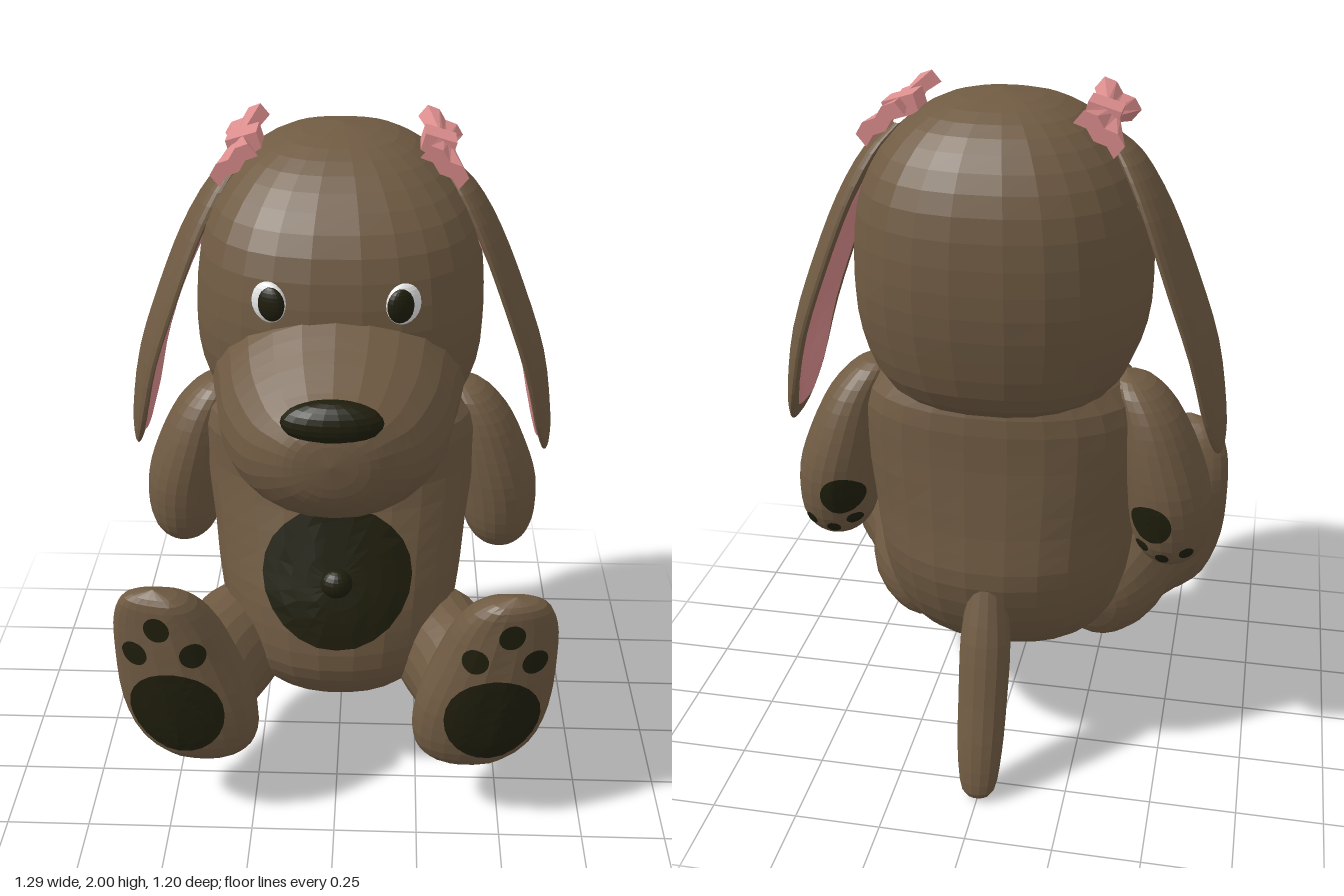
import * as THREE from 'three';

const mat = (name, color) => Object.assign(new THREE.MeshStandardMaterial({ color, flatShading: true }), { name });

export function createModel() {
  const brown = mat('brown plush', 0x705b43);
  const dark = mat('dark felt', 0x1f1e0d);
  const pink = mat('pink fabric', 0xdd8e8e);
  const white = mat('eye white', 0xe8e8e8);
  const model = new THREE.Group();
  model.name = 'plushDog';

  const add = (name, geometry, material, parent = model) => {
    const mesh = new THREE.Mesh(geometry, material);
    mesh.name = name;
    parent.add(mesh);
    return mesh;
  };

  // Smooth loft along y or z. Station: [position, centre x, other centre, radius x, other radius]
  function loft(axis, stations, { seg = 22, steps = 3, n = 2 } = {}) {
    const centres = new THREE.CatmullRomCurve3(stations.map(s => new THREE.Vector3(s[0], s[1], s[2])), false, 'catmullrom', 0.5);
    const radii = new THREE.CatmullRomCurve3(stations.map(s => new THREE.Vector3(s[3], s[4], 0)), false, 'catmullrom', 0.5);
    const rows = (stations.length - 1) * steps;
    const pos = [], index = [];
    const bend = v => Math.sign(v) * Math.abs(v) ** (2 / n);
    for (let r = 0; r <= rows; r++) {
      const c = centres.getPoint(r / rows), q = radii.getPoint(r / rows);
      for (let i = 0; i < seg; i++) {
        const a = (i / seg) * Math.PI * 2;
        const u = c.y + Math.max(0, q.x) * bend(Math.cos(a));
        const v = c.z + Math.max(0, q.y) * bend(Math.sin(a));
        if (axis === 'y') pos.push(u, c.x, v);
        else pos.push(u, v, c.x);
        if (r === rows) continue;
        const p = r * seg + i, next = r * seg + (i + 1) % seg, up = p + seg, nextUp = next + seg;
        if (axis === 'y') index.push(p, up, next, next, up, nextUp);
        else index.push(p, next, up, next, nextUp, up);
      }
    }
    const g = new THREE.BufferGeometry();
    g.setAttribute('position', new THREE.Float32BufferAttribute(pos, 3));
    g.setIndex(index);
    g.computeVertexNormals();
    return g;
  }

  // Moves every vertex by a rule that edits the point in place
  function reshape(g, rule) {
    const p = g.attributes.position, v = new THREE.Vector3();
    for (let i = 0; i < p.count; i++) {
      rule(v.fromBufferAttribute(p, i));
      p.setXYZ(i, v.x, v.y, v.z);
    }
    g.computeVertexNormals();
    return g;
  }

  const ellipsoid = (rx, ry, rz, x, y, z, yaw = 0) =>
    new THREE.SphereGeometry(1, 18, 12).scale(rx, ry, rz).rotateY(yaw).translate(x, y, z);

  // Thin felt patch laid onto the front (dir 1) or back (dir -1) of a mesh
  function patch(name, target, x, y, rx, ry, dir = 1) {
    const g = new THREE.RingGeometry(0.001, 1, 24, 5).scale(rx, ry, 1);
    if (dir < 0) g.rotateY(Math.PI);
    g.translate(x, y, 0);
    const ray = new THREE.Raycaster();
    reshape(g, v => {
      ray.set(new THREE.Vector3(v.x, v.y, 3 * dir), new THREE.Vector3(0, 0, -dir));
      v.z = ray.intersectObject(target)[0].point.z + 0.006 * dir;
    });
    add(name, g, dark);
  }

  // Body, broad at the shoulders with the belly pushed forward
  const body = add('body', loft('y', [
    [0.24, 0, 0.04, 0, 0], [0.265, 0, 0.025, 0.16, 0.125], [0.34, 0, -0.003, 0.275, 0.25],
    [0.46, 0, -0.037, 0.345, 0.345], [0.64, 0, -0.08, 0.378, 0.368], [0.8, 0, -0.103, 0.392, 0.332],
    [1.0, 0, -0.13, 0.412, 0.288], [1.16, 0, -0.13, 0.395, 0.28], [1.3, 0, -0.14, 0.24, 0.22],
  ], { seg: 26, n: 2.2 }), brown);
  patch('bellyPatch', body, 0, 0.75, 0.222, 0.21);
  add('navel', ellipsoid(0.047, 0.045, 0.04, 0, 0.75, 0.264), dark);

  // Head and muzzle
  add('head', loft('y', [
    [1.08, 0, -0.1, 0, 0], [1.115, 0, -0.1, 0.2, 0.2], [1.2, 0, -0.12, 0.33, 0.32],
    [1.36, 0, -0.11, 0.4, 0.385], [1.55, 0, -0.112, 0.41, 0.404], [1.75, 0, -0.122, 0.378, 0.372],
    [1.89, 0, -0.14, 0.285, 0.28], [1.97, 0, -0.15, 0.16, 0.16], [2.0, 0, -0.15, 0, 0],
  ], { seg: 26, n: 2.4 }), brown);
  add('muzzle', loft('z', [
    [-0.05, 0, 1.33, 0.37, 0.24], [0.1, 0, 1.33, 0.355, 0.27], [0.24, 0, 1.333, 0.33, 0.272],
    [0.36, 0, 1.305, 0.305, 0.242], [0.48, 0, 1.295, 0.24, 0.187], [0.55, 0, 1.31, 0.165, 0.137],
    [0.585, 0, 1.32, 0.1, 0.088], [0.599, 0, 1.33, 0, 0],
  ], { seg: 24, n: 2.1 }), brown);
  add('nose', ellipsoid(0.132, 0.06, 0.055, 0, 1.43, 0.545), dark);

  // Tail
  add('tail', loft('y', [
    [0.005, 0, -0.575, 0, 0], [0.035, 0, -0.567, 0.048, 0.034], [0.15, 0, -0.535, 0.066, 0.052],
    [0.3, 0, -0.485, 0.072, 0.063], [0.48, 0, -0.435, 0.073, 0.066], [0.64, 0, -0.4, 0.05, 0.045],
  ], { seg: 14 }), brown);

  for (const side of [1, -1]) {
    const label = side > 0 ? 'left' : 'right';
    const limb = (axis, stations, options) =>
      loft(axis, stations.map(([a, x, ...rest]) => [a, x * side, ...rest]), options);

    // Eye, turned to follow the face
    add(label + 'Eye', ellipsoid(0.05, 0.057, 0.024, side * 0.177, 1.635, 0.262, side * 0.42), white);
    add(label + 'Pupil', ellipsoid(0.04, 0.048, 0.02, side * 0.171, 1.635, 0.275, side * 0.42), dark);

    // Drooping ear, cupped toward the head, with pink lining
    const ear = [
      [1.0, 0.625, -0.15, 0, 0], [1.03, 0.622, -0.15, 0.014, 0.08], [1.13, 0.608, -0.15, 0.026, 0.138],
      [1.32, 0.572, -0.15, 0.03, 0.17], [1.52, 0.502, -0.15, 0.031, 0.172], [1.7, 0.425, -0.145, 0.032, 0.15],
      [1.83, 0.347, -0.14, 0.032, 0.105], [1.9, 0.28, -0.14, 0.02, 0.04],
    ];
    const cup = g => reshape(g, v => { v.x -= side * 1.15 * (v.z + 0.15) ** 2; });
    add(label + 'Ear', cup(limb('y', ear)), brown);
    add(label + 'EarLining', cup(limb('y', ear.slice(1, 7).map(([y, x, z, rx, rz]) =>
      [y + (1.4 - y) * 0.1, x - 0.007 + (y - 1.4) * 0.036, z, rx, rz * 0.85]))), pink);

    // Arm with paw pads turned to the back and inward
    const arm = add(label + 'Arm', limb('y', [
      [0.645, 0.5, -0.17, 0, 0], [0.67, 0.5, -0.17, 0.07, 0.085], [0.74, 0.498, -0.175, 0.11, 0.135],
      [0.87, 0.488, -0.175, 0.122, 0.157], [1.0, 0.457, -0.17, 0.113, 0.15], [1.12, 0.42, -0.165, 0.09, 0.125],
      [1.2, 0.375, -0.16, 0.06, 0.08], [1.23, 0.35, -0.16, 0, 0],
    ]), brown);
    patch(label + 'PalmPad', arm, side * 0.45, 0.83, 0.06, 0.06, -1);
    for (const [x, y] of [[0.425, 0.74], [0.485, 0.712], [0.553, 0.735]])
      patch(label + 'FingerPad', arm, side * x, y, 0.02, 0.02, -1);

    // Leg, flaring out into an upright foot that thins toward its outer edge
    add(label + 'Leg', limb('z', [
      [-0.12, 0.27, 0.4, 0, 0], [-0.08, 0.275, 0.4, 0.1, 0.11], [0.02, 0.3, 0.415, 0.16, 0.17],
      [0.16, 0.34, 0.42, 0.165, 0.185], [0.28, 0.4, 0.42, 0.175, 0.19], [0.38, 0.425, 0.42, 0.165, 0.17],
    ]), brown);
    const foot = add(label + 'Foot', reshape(limb('y', [
      [0.2, 0.39, 0.36, 0, 0], [0.22, 0.395, 0.365, 0.1, 0.07], [0.29, 0.41, 0.374, 0.175, 0.1],
      [0.43, 0.437, 0.378, 0.197, 0.112], [0.6, 0.472, 0.38, 0.172, 0.11], [0.72, 0.492, 0.4, 0.143, 0.086],
      [0.8, 0.505, 0.425, 0.092, 0.055], [0.833, 0.51, 0.44, 0, 0],
    ], { n: 2.5 }), v => {
      v.z = 0.38 + (v.z - 0.38) * (1 - 2 * Math.max(0, side * v.x - 0.46));
    }), brown);
    patch(label + 'SolePad', foot, side * 0.46, 0.43, 0.142, 0.148);
    for (const [x, y] of [[0.5, 0.727], [0.4, 0.643], [0.572, 0.63]])
      patch(label + 'ToePad', foot, side * x, y, 0.038, 0.04);

    // Hair bow: knot and two pleated, flaring wings
    const bow = new THREE.Group();
    bow.name = label + 'Bow';
    bow.position.set(side * 0.283, 1.94, -0.145);
    bow.rotation.z = -side * 0.69;
    model.add(bow);
    const knot = add('bowKnot', new THREE.BoxGeometry(0.09, 0.052, 0.1), pink, bow);
    knot.position.set(-side * 0.016, -0.006, 0);
    knot.rotation.z = side * 0.4;
    for (const turn of [0, Math.PI]) {
      const g = reshape(new THREE.BoxGeometry(0.135, 0.028, 0.17, 4, 1, 1), v => {
        const t = v.z / 0.17 + 0.5;
        const fold = Math.round((v.x / 0.135 + 0.5) * 4) % 2 ? 1 : -1;
        v.set(v.x * (0.4 + 0.6 * t), v.y * (1 + 0.5 * t) + fold * 0.006 * t, v.z + 0.115);
      });
      add('bowWing', g.rotateY(turn), pink, bow);
    }
  }
  return model;
}
